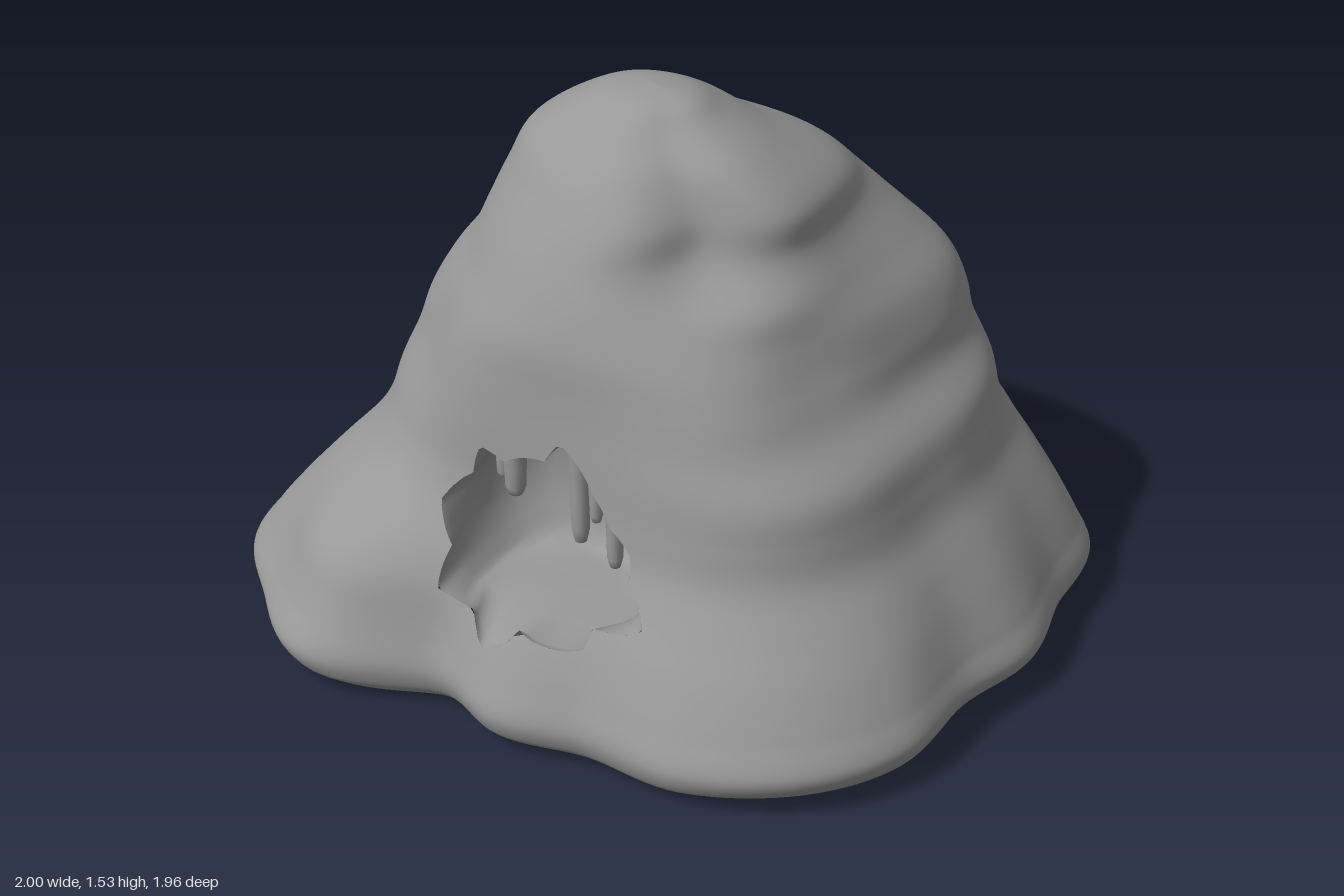
import * as THREE from 'three';

// Height levels: y, left x, right x, front z, back z, foot scale, foot weight
const LEVELS = [
  [0.00, -0.93, 0.93, 0.88, -0.92, 0.94, 1],
  [0.04, -0.97, 0.98, 0.93, -0.97, 0.98, 1],
  [0.11, -0.99, 1.00, 0.94, -0.99, 0.998, 1],
  [0.20, -0.94, 0.97, 0.92, -0.95, 0.965, 0.9],
  [0.30, -0.87, 0.92, 0.87, -0.89, 0.91, 0.72],
  [0.40, -0.80, 0.85, 0.79, -0.82, 0.85, 0.5],
  [0.50, -0.73, 0.78, 0.73, -0.74, 0.79, 0.3],
  [0.60, -0.69, 0.75, 0.71, -0.67, 0.74, 0.15],
  [0.70, -0.67, 0.72, 0.70, -0.63, 0.7, 0.07],
  [0.80, -0.63, 0.64, 0.69, -0.60, 0.68, 0.03],
  [0.90, -0.60, 0.61, 0.68, -0.55, 0.6, 0],
  [1.00, -0.54, 0.57, 0.67, -0.50, 0.6, 0],
  [1.10, -0.46, 0.50, 0.64, -0.42, 0.6, 0],
  [1.20, -0.41, 0.44, 0.60, -0.34, 0.6, 0],
  [1.30, -0.36, 0.42, 0.55, -0.22, 0.6, 0],
  [1.40, -0.30, 0.31, 0.48, -0.05, 0.6, 0],
  [1.47, -0.20, 0.19, 0.39, 0.04, 0.6, 0],
  [1.515, -0.10, 0.12, 0.31, 0.13, 0.6, 0],
  [1.53, 0.02, 0.021, 0.221, 0.22, 0.6, 0],
];
// Foot outline radius every 15 degrees, from +x towards +z
const FOOT = [0.99, 0.97, 1.06, 1.08, 1.03, 0.92, 0.94, 0.90, 1.13, 1.15, 1.16, 0.98,
  0.93, 1.02, 0.95, 0.96, 0.92, 0.95, 0.98, 0.91, 1.0, 0.97, 1.03, 0.97];
// Ragged cave mouth in x, y
const MOUTH = [[0.26, 0.49], [0.25, 0.55], [0.19, 0.60], [0.14, 0.67], [0.09, 0.74], [0.04, 0.78], [0, 0.72],
  [-0.06, 0.71], [-0.12, 0.68], [-0.19, 0.70], [-0.21, 0.62], [-0.29, 0.53], [-0.23, 0.44], [-0.24, 0.34],
  [-0.13, 0.32], [-0.08, 0.25], [-0.03, 0.27], [0.02, 0.33], [0.09, 0.31], [0.19, 0.32], [0.2, 0.37], [0.33, 0.39]];
// Lumps and hollows on the flank: angle, angular width, y, height, strength
const LUMPS = [
  [0.8, 0.38, 1.28, 0.22, -0.22],
  [0.45, 0.3, 0.95, 0.16, -0.08],
  [-0.62, 0.35, 0.98, 0.25, 0.1],
  [0.6, 0.35, 1.1, 0.06, 0.05],
  [2.3, 0.2, 0.85, 0.2, -0.05],
  [2.15, 0.3, 0.36, 0.14, 0.17],
];
const MX = 0, MY = 0.47, TAU = Math.PI * 2;

const cubic = (a, b, c, d, t) =>
  b + 0.5 * t * (c - a + t * (2 * a - 5 * b + 4 * c - d + t * (3 * (b - c) + d - a)));
const bell = (v, w) => Math.exp(-(v / w) * (v / w));
const wrap = a => Math.atan2(Math.sin(a), Math.cos(a));

function level(u) {
  const n = LEVELS.length - 1, i = Math.min(Math.floor(u), n - 1);
  const at = k => LEVELS[Math.max(0, Math.min(n, k))];
  return LEVELS[0].map((_, k) => cubic(at(i - 1)[k], at(i)[k], at(i + 1)[k], at(i + 2)[k], u - i));
}

function footRadius(a) {
  const f = (a / TAU) * 24, i = Math.floor(f), at = k => FOOT[(k + 48) % 24];
  return cubic(at(i - 1), at(i), at(i + 1), at(i + 2), f - i);
}

// Point on the mound: rounded-box ring, squarer at the lower front, blended into the wavy foot
function moundPoint(u, a) {
  const [y, xl, xr, zf, zb, k, w] = level(u);
  const c = Math.cos(a), s = Math.sin(a);
  const square = s > 0 ? 0.65 * (1 - THREE.MathUtils.smoothstep(y, 0.65, 1.1)) : 0;
  const e = 2.4 + square - Math.max(0, y - 1.1);
  const round = Math.pow(Math.pow(Math.abs(c), e) + Math.pow(Math.abs(s), e), -1 / e);
  const upper = Math.min(1, Math.max(0, (y - 0.3) / 0.3));
  let swell = 1 + upper * 0.01 * Math.sin(5 * a + 5 * y);
  for (const [la, lw, ly, lh, amount] of LUMPS) swell += amount * bell(wrap(a - la), lw) * bell(y - ly, lh);
  const r = round * swell, f = footRadius(a) * k;
  const x = (xl + xr) / 2 + (xr - xl) / 2 * c * r;
  const z = (zf + zb) / 2 + (zf - zb) / 2 * s * r;
  // the lower edge lifts at the sides and dips at the back
  const lift = (0.012 + 0.038 * c * c + 0.008 * s + 0.005 * Math.sin(9 * a)) * Math.max(0, 1 - y / 0.2);
  return new THREE.Vector3(x + (c * f - x) * w, y + lift, z + (s * f - z) * w);
}

// Front surface point above a given x, y
function frontPoint(x, y) {
  let lo = 0, hi = LEVELS.length - 1;
  for (let i = 0; i < 24; i++) {
    const m = (lo + hi) / 2;
    if (level(m)[0] < y) lo = m; else hi = m;
  }
  const u = lo;
  lo = 0.3; hi = Math.PI - 0.3;
  for (let i = 0; i < 24; i++) {
    const m = (lo + hi) / 2;
    if (moundPoint(u, m).x > x) lo = m; else hi = m;
  }
  return new THREE.Vector3(x, y, moundPoint(u, lo).z);
}

const mouthPolar = MOUTH.map(([x, y]) =>
  [(Math.atan2(y - MY, x - MX) + TAU) % TAU, Math.hypot(x - MX, y - MY)]).sort((p, q) => p[0] - q[0]);

function mouthRadius(angle) {
  const a = (angle + TAU) % TAU, n = mouthPolar.length;
  let j = mouthPolar.findIndex(p => p[0] > a);
  if (j < 0) j = n;
  const [a0, r0] = mouthPolar[(j + n - 1) % n], [a1, r1] = mouthPolar[j % n];
  const span = (a1 - a0 + TAU) % TAU;
  return r0 + (r1 - r0) * (((a - a0 + TAU) % TAU) / span);
}

const rimPoint = p => frontPoint(MX + Math.cos(p) * mouthRadius(p), MY + Math.sin(p) * mouthRadius(p));

function buildGeometry(points, index) {
  const g = new THREE.BufferGeometry().setFromPoints(points);
  g.setIndex(index);
  g.computeVertexNormals();
  return g;
}

// Closed rings joined by quads, with an optional test for leaving quads out
function gridIndex(rows, cols, skip = () => false) {
  const index = [];
  for (let i = 0; i < rows; i++) for (let j = 0; j < cols; j++) {
    const a = i * cols + j, b = a + cols, c = i * cols + (j + 1) % cols, d = c + cols;
    if (!skip(a, b, c, d)) index.push(a, b, c, c, b, d);
  }
  return index;
}

export function createModel() {
  const group = new THREE.Group();
  const rock = new THREE.MeshStandardMaterial({ color: 0x999999 });
  const inner = rock.clone();
  inner.side = THREE.DoubleSide;
  const add = (name, geometry, material = rock) => {
    const mesh = new THREE.Mesh(geometry, material);
    mesh.name = name;
    group.add(mesh);
    return mesh;
  };

  // Rock mound with the mouth cut out; vertices inside it slide to the rim
  const rows = 126, cols = 220, points = [], inside = [];
  for (let i = 0; i <= rows; i++) for (let j = 0; j < cols; j++) {
    let p = moundPoint(i / rows * (LEVELS.length - 1), j / cols * TAU);
    const a = Math.atan2(p.y - MY, p.x - MX);
    const within = p.z > 0.3 && Math.hypot(p.x - MX, p.y - MY) < mouthRadius(a);
    if (within) p = rimPoint(a);
    points.push(p);
    inside.push(within);
  }
  add('rockMound', buildGeometry(points, gridIndex(rows, cols, (...q) => q.every(k => inside[k]))));

  // Underside
  const base = [new THREE.Vector3(0, 0.04, 0), ...points.slice(0, cols)], fan = [];
  for (let j = 0; j < cols; j++) fan.push(0, 1 + j, 1 + (j + 1) % cols);
  add('underside', buildGeometry(base, fan));

  // Cave hollow: ragged rim softening to an oval with a level floor, then the back wall
  const ringSteps = [[0, 1], [0.08, 1.03], [0.3, 1.1], [0.6, 1.1], [0.85, 0.98], [0.96, 0.7], [1, 0.35], [1, 0.001]];
  const cave = [], n = 120;
  for (const [t, s] of ringSteps) for (let j = 0; j < n; j++) {
    const a = j / n * TAU, p = rimPoint(a), soft = Math.min(1, t * 3.4);
    const r = THREE.MathUtils.lerp(mouthRadius(a), 0.25, soft) * s;
    const y = MY + Math.sin(a) * r;
    cave.push(new THREE.Vector3(MX + Math.cos(a) * r,
      THREE.MathUtils.lerp(y, Math.max(y, 0.3), soft), THREE.MathUtils.lerp(p.z, 0.4, t)));
  }
  add('caveHollow', buildGeometry(cave, gridIndex(ringSteps.length - 1, n)), inner);

  // Stalactites: x, top y, tip y, radius
  const drip = [[0, 0], [0.5, 0.03], [0.75, 0.15], [0.8, 0.45], [0.9, 0.8], [1.2, 1]].map(p => new THREE.Vector2(...p));
  for (const [x, top, tip, r] of [[-0.12, 0.74, 0.56, 0.035], [-0.155, 0.72, 0.6, 0.022],
    [0.065, 0.79, 0.48, 0.03], [0.17, 0.66, 0.45, 0.026], [0.115, 0.72, 0.56, 0.022], [0.235, 0.6, 0.5, 0.02]]) {
    const m = add('stalactite', new THREE.LatheGeometry(drip, 12), inner);
    m.scale.set(r, top - tip, r);
    m.position.set(x, tip, frontPoint(x, top).z - 0.045);
  }
  return group;
}
